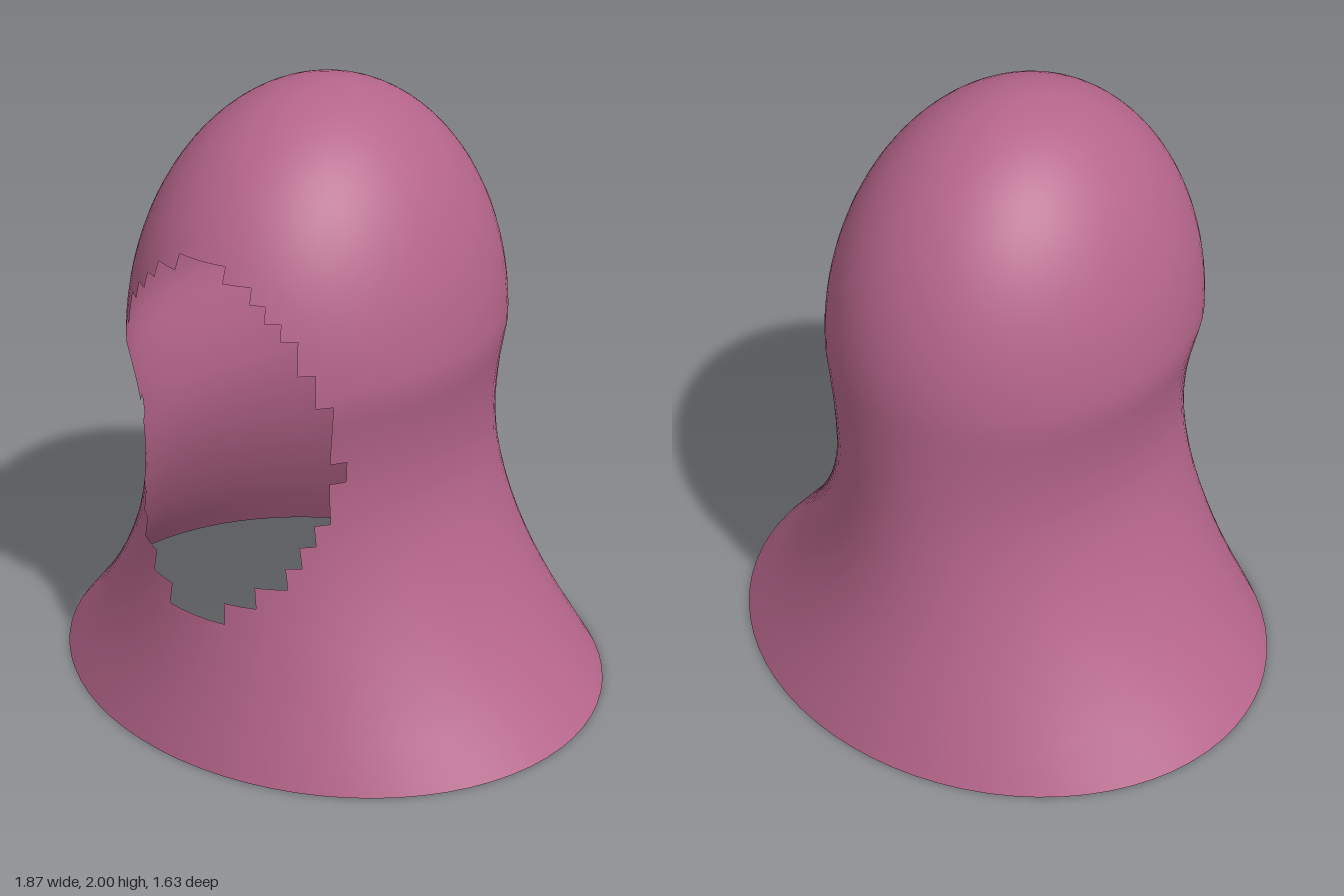
import * as THREE from 'three';

const SEGMENTS = 72;      // 5 degree columns, starting at the front
const LOWER_ROWS = 18;    // hem to brow
const DOME_ROWS = 24;     // brow to crown
const BROW = 1.215;

// Cross-sections evenly spaced from hem to brow: half width, back depth, front depth
const drape = new THREE.CatmullRomCurve3([
  [0.935, 0.812, 0.815],
  [0.77, 0.735, 0.762],
  [0.643, 0.668, 0.722],
  [0.553, 0.623, 0.697],
  [0.505, 0.6, 0.692],
  [0.51, 0.595, 0.7],
  [0.55, 0.595, 0.725],
].map((p) => new THREE.Vector3(...p)), false, 'catmullrom', 0.5);

// Face opening: columns left out on each side of the middle, row by row upward
const OPENING_START = 7;
const OPENING = [2, 4, 6, 7, 8, 9, 9, 10, 9, 9, 9, 8, 8, 7, 7, 6, 5, 4, 2];

// Elliptical ring for a given row
function ring(row) {
  if (row <= LOWER_ROWS) {
    const p = drape.getPoint(row / LOWER_ROWS);
    return { y: BROW * row / LOWER_ROWS, rx: p.x, rz: (p.y + p.z) / 2, cz: (p.z - p.y) / 2 };
  }
  const t = (row - LOWER_ROWS) / DOME_ROWS * Math.PI / 2;
  return {
    y: BROW + (2 - BROW) * Math.sin(t),
    rx: 0.55 * Math.cos(t), rz: 0.66 * Math.cos(t), cz: 0.065,
  };
}

function hoodGeometry() {
  const positions = [], index = [];
  const rows = LOWER_ROWS + DOME_ROWS;

  for (let r = 0; r < rows; r++) {
    const { y, rx, rz, cz } = ring(r);
    for (let s = 0; s < SEGMENTS; s++) {
      const a = s / SEGMENTS * Math.PI * 2;
      positions.push(rx * Math.sin(a), y, cz + rz * Math.cos(a));
    }
  }
  const crown = rows * SEGMENTS;
  positions.push(0, 2, 0.065);

  for (let r = 0; r < rows; r++) {
    const gap = OPENING[r - OPENING_START] ?? 0;
    for (let s = 0; s < SEGMENTS; s++) {
      if (s < gap || s >= SEGMENTS - gap) continue;
      const next = (s + 1) % SEGMENTS;
      const a = r * SEGMENTS + s, b = r * SEGMENTS + next;
      if (r === rows - 1) index.push(a, b, crown);
      else index.push(a, b, b + SEGMENTS, a, b + SEGMENTS, a + SEGMENTS);
    }
  }

  const geometry = new THREE.BufferGeometry();
  geometry.setAttribute('position', new THREE.Float32BufferAttribute(positions, 3));
  geometry.setIndex(index);
  geometry.computeVertexNormals();
  return geometry;
}

export function createModel() {
  const group = new THREE.Group();
  group.name = 'hood';

  // One thin cloth shell, open at the hem and the face
  const cloth = new THREE.Mesh(
    hoodGeometry(),
    new THREE.MeshStandardMaterial({ color: 0xb5658a, side: THREE.DoubleSide }),
  );
  cloth.name = 'hoodCloth';
  group.add(cloth);
  return group;
}
